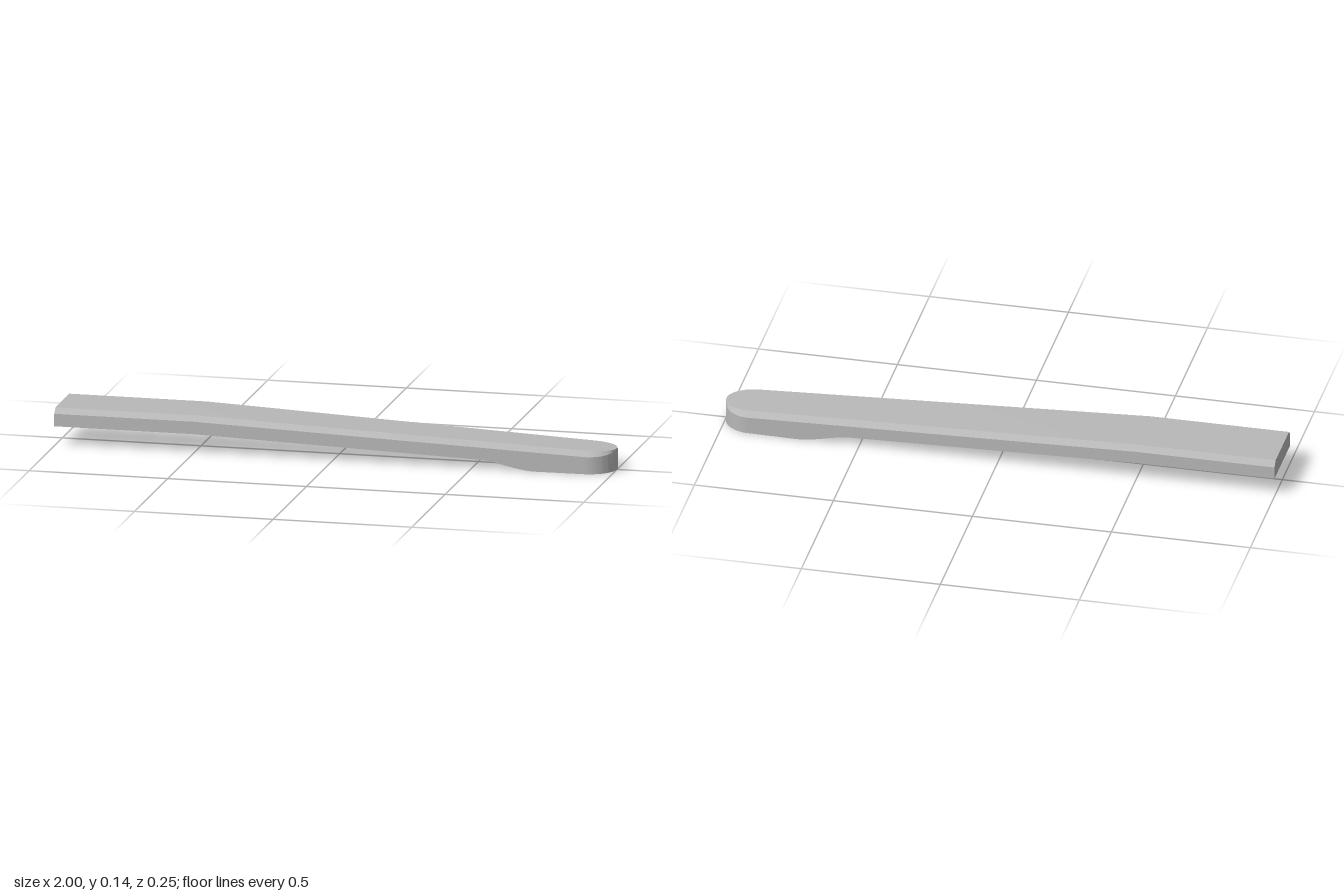
import * as THREE from 'three';
import { toCreasedNormals } from 'three/addons/utils/BufferGeometryUtils.js';

const { lerp, clamp, smoothstep } = THREE.MathUtils;
const ROUND = 0.9; // x where the rounded tip begins

// Six-cornered section of the bar at x, running counterclockwise seen from +x
function section(x) {
  const slope = clamp((x + 0.5) / 1.5, 0, 1);
  const taper = clamp((x + 0.5) / 1.4, 0, 1);
  const t = clamp((x - ROUND) / (1 - ROUND), 0, 1);
  const round = Math.sqrt(1 - t * t);

  const top = lerp(0.135, 0.077, slope);
  const half = lerp(0.123, 0.096, taper) * round;
  const inner = half - 0.019 * round;
  const shoulder = top - lerp(0.003, 0.019, round);
  // underside follows the slope, then steps down into the foot
  const bottom = lerp(lerp(0.071, 0.015, slope), 0, smoothstep(x, 0.53, 0.73));

  return [
    [x, top, inner], [x, shoulder, half], [x, bottom, half],
    [x, bottom, -half], [x, shoulder, -half], [x, top, -inner],
  ];
}

function loft(rings) {
  const positions = [];
  const triangle = (a, b, c) => positions.push(...a, ...b, ...c);
  const sides = rings[0].length;
  for (let i = 0; i < rings.length - 1; i++) {
    for (let j = 0; j < sides; j++) {
      const k = (j + 1) % sides;
      const a = rings[i], b = rings[i + 1];
      triangle(a[j], a[k], b[k]);
      triangle(a[j], b[k], b[j]);
    }
  }
  // flat square-cut end
  const end = rings[0];
  for (let j = 1; j < sides - 1; j++) triangle(end[0], end[j + 1], end[j]);

  const geometry = new THREE.BufferGeometry();
  geometry.setAttribute('position', new THREE.Float32BufferAttribute(positions, 3));
  return toCreasedNormals(geometry, 0.4);
}

export function createModel() {
  const model = new THREE.Group();
  model.name = 'taperedBar';

  const grey = new THREE.MeshStandardMaterial({ color: 0xb8b8b8 });
  grey.name = 'grey';

  // stations: straight grip, sloping middle, stepped foot, rounded tip
  const stations = [-1, -0.5];
  for (let i = 0; i <= 10; i++) stations.push(0.53 + 0.02 * i);
  for (let i = 0; i <= 16; i++) {
    stations.push(ROUND + (1 - ROUND) * Math.sin((i / 16) * Math.PI / 2));
  }

  const bar = new THREE.Mesh(loft(stations.map(section)), grey);
  bar.name = 'bar';
  model.add(bar);
  return model;
}
